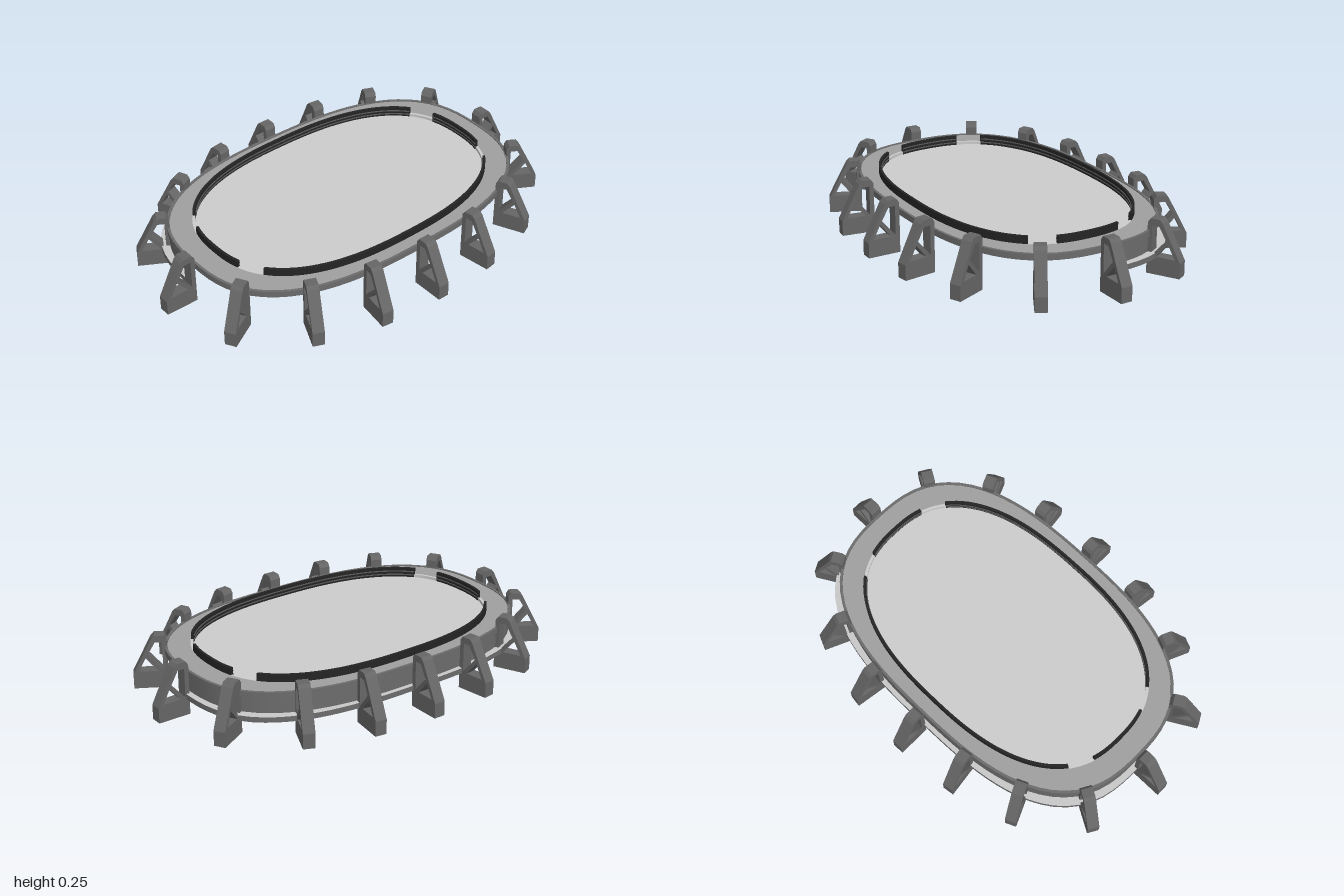
import * as THREE from 'three';
import { toCreasedNormals } from 'three/addons/utils/BufferGeometryUtils.js';

const mat = (name, color, side = THREE.FrontSide) => {
  const m = new THREE.MeshStandardMaterial({ color, side });
  m.name = name;
  return m;
};

// Rounded oval outlines: half width, half depth, squareness
const INNER = [0.725, 0.463, 2.5];
const OUTER = [0.84, 0.537, 2.7];
const LEDGE = [0.862, 0.552, 2.9];
const RAD = Math.PI / 180;

function ovalPoint([a, b, n], off, t) {
  const c = Math.cos(t), s = Math.sin(t);
  const r = (Math.abs(c / (a + off)) ** n + Math.abs(s / (b + off)) ** n) ** (-1 / n);
  return [r * c, r * s];
}

// Sweeps a profile of [oval, offset, y] entries (anticlockwise) along the oval
function sweep(profile, t0, t1, steps, closed = true) {
  const pos = [];
  const at = (j, i) => {
    const [oval, off, y] = profile[j % profile.length];
    const [x, z] = ovalPoint(oval, off, t0 + (t1 - t0) * i / steps);
    return [x, y, z];
  };
  const tri = (...v) => v.forEach(p => pos.push(...p));
  const edges = closed ? profile.length : profile.length - 1;
  for (let i = 0; i < steps; i++) for (let j = 0; j < edges; j++) {
    const a = at(j, i), b = at(j + 1, i), c = at(j + 1, i + 1), d = at(j, i + 1);
    tri(a, b, c);
    tri(a, c, d);
  }
  // End caps for sweeps that do not run all the way round
  if (closed && t1 - t0 < Math.PI * 2 - 0.001) for (let j = 1; j < profile.length - 1; j++) {
    tri(at(0, 0), at(j + 1, 0), at(j, 0));
    tri(at(0, steps), at(j, steps), at(j + 1, steps));
  }
  const g = new THREE.BufferGeometry();
  g.setAttribute('position', new THREE.Float32BufferAttribute(pos, 3));
  g.computeVertexNormals();
  return toCreasedNormals(g, 0.5);
}

const band = (oval, o0, o1, y0, y1) => [[oval, o0, y0], [oval, o1, y0], [oval, o1, y1], [oval, o0, y1]];

// Buttress side profile, measured inward from its outer foot, with two windows
function buttressGeometry(width) {
  const v = (list) => list.map(([x, y]) => new THREE.Vector2(x, y));
  const shape = new THREE.Shape(v([[0, 0], [0.155, 0], [0.155, 0.235], [0.143, 0.253],
    [0.1, 0.253], [0.086, 0.238], [0, 0.07]]));
  shape.holes.push(
    new THREE.Path(v([[0.025, 0.082], [0.058, 0.146], [0.112, 0.082]])),
    new THREE.Path(v([[0.068, 0.163], [0.102, 0.222], [0.134, 0.222], [0.134, 0.086]])));
  const g = new THREE.ExtrudeGeometry(shape, { depth: width, bevelEnabled: false });
  return g.translate(0, 0, -width / 2);
}

export function createModel() {
  const model = new THREE.Group();
  model.name = 'ovalArena';
  const floorMat = mat('lightFloor', 0xcccccc);
  const ledgeMat = mat('lightLedge', 0xc8c8c8, THREE.DoubleSide);
  const ringMat = mat('greyRing', 0x9f9f9f);
  const concrete = mat('darkConcrete', 0x666666);
  const wallMat = mat('wallGrey', 0x6c6c6c, THREE.DoubleSide);
  const fenceMat = mat('blackFence', 0x242424);
  const railMat = mat('railGrey', 0x5a5a5a);
  const add = (name, geometry, material, parent = model) => {
    const m = new THREE.Mesh(geometry, material);
    m.name = name;
    parent.add(m);
    return m;
  };
  const TAU = Math.PI * 2;

  // Playing floor
  const outline = [];
  for (let i = 0; i < 96; i++) outline.push(new THREE.Vector2(...ovalPoint(INNER, 0, i / 96 * TAU)));
  const floor = new THREE.ExtrudeGeometry(new THREE.Shape(outline), { depth: 0.013, bevelEnabled: false });
  add('floor', floor.rotateX(-Math.PI / 2).translate(0, 0.17, 0), floorMat);

  // Walkway around the floor and its outer rim
  add('walkway', sweep([[INNER, 0, 0.17], [OUTER, -0.012, 0.17], [OUTER, -0.012, 0.195], [INNER, 0, 0.195]],
    0, TAU, 96), ringMat);
  add('walkwayRim', sweep(band(OUTER, -0.012, 0, 0.17, 0.199), 0, TAU, 96), wallMat);

  // Fence in four runs: two long sides and two ends, with inner rails
  const runs = [['frontFence', 22, 158, 60], ['backFence', 202, 338, 60],
    ['leftFence', -12.3, 12.3, 10], ['rightFence', 167.7, 192.3, 10]];
  for (const [name, a, b, steps] of runs) {
    const fence = new THREE.Group();
    fence.name = name;
    model.add(fence);
    add('fencePanel', sweep(band(INNER, -0.008, 0.004, 0.18, 0.23), a * RAD, b * RAD, steps), fenceMat, fence);
    for (const y of [0.193, 0.21])
      add('fenceRail', sweep(band(INNER, -0.011, -0.008, y, y + 0.005), a * RAD, b * RAD, steps), railMat, fence);
  }

  // Low kerbs across the four openings
  for (const a of [12.3, 158, 192.3, 338])
    add('openingKerb', sweep(band(INNER, -0.006, 0.006, 0.18, 0.197), a * RAD, (a + 9.7) * RAD, 6), floorMat);

  // Outer wall with a stepped ledge, along the back half only
  const skirt = [Math.PI, TAU, 48, false];
  add('backWall', sweep([[OUTER, -0.006, 0.1], [OUTER, -0.006, 0.172]], ...skirt), wallMat);
  add('backLedge', sweep([[LEDGE, 0, 0.1], [OUTER, -0.006, 0.1]], ...skirt), ledgeMat);
  add('backWallFoot', sweep([[LEDGE, 0, 0.075], [LEDGE, 0, 0.1]], ...skirt), wallMat);

  // Buttresses: outer foot position and facing angle, mirrored to every side
  const geometry = buttressGeometry(0.054);
  const placeButtress = (x, z, angle) => {
    const m = add('buttress', geometry, concrete);
    m.position.set(x, 0, z);
    m.rotation.y = Math.PI - angle;
  };
  for (const s of [1, -1]) {
    placeButtress(s, 0, s > 0 ? 0 : Math.PI);
    placeButtress(0, 0.7 * s, s * Math.PI / 2);
    for (const [x, z, deg] of [[0.905, 0.357, 30], [0.617, 0.594, 66], [0.306, 0.68, 82]])
      for (const k of [1, -1])
        placeButtress(x * s, z * k, Math.atan2(k * Math.sin(deg * RAD), s * Math.cos(deg * RAD)));
  }
  return model;
}
